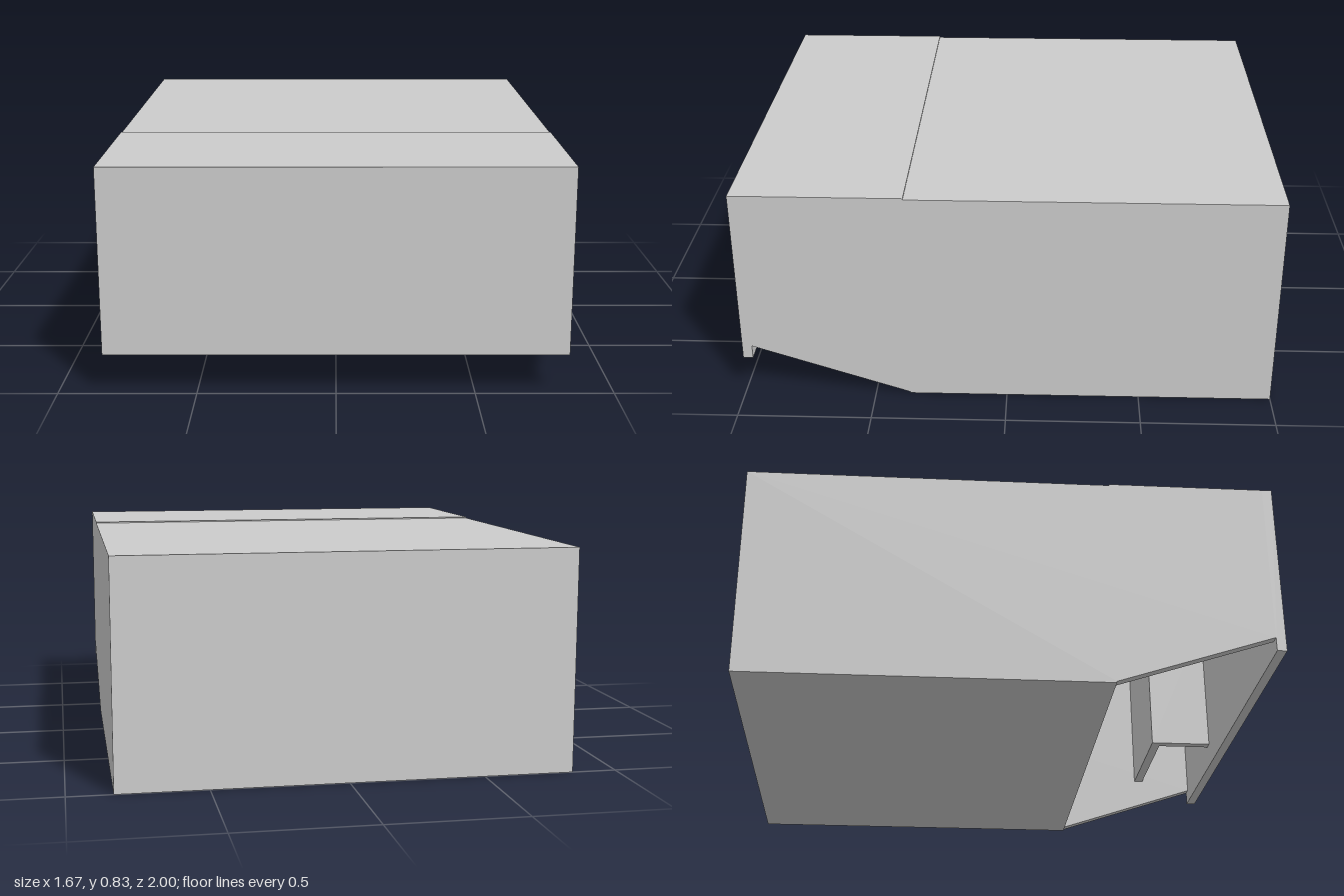
import * as THREE from 'three';

const W = 0.835;      // half width
const T = 0.037;      // board thickness
const SHEET = 0.005;  // thin sheet thickness
const TOP = 0.833;
const BREAK = 0.37;   // z where the floor ends and the lid begins
const FRONT = 1 - T;  // inner face of the front board

const material = new THREE.MeshStandardMaterial({ color: 0xcccccc });

export function createModel() {
  const group = new THREE.Group();

  // Box given by its minimum and maximum on each axis
  const board = (name, [x0, x1], [y0, y1], [z0, z1]) => {
    const mesh = new THREE.Mesh(new THREE.BoxGeometry(x1 - x0, y1 - y0, z1 - z0), material);
    mesh.position.set((x0 + x1) / 2, (y0 + y1) / 2, (z0 + z1) / 2);
    mesh.name = name;
    group.add(mesh);
  };

  // Side boards with the underside rising towards the front
  const profile = new THREE.Shape([
    [-1, SHEET], [BREAK, SHEET], [FRONT, 0.2], [FRONT, TOP - SHEET], [-1, TOP - SHEET],
  ].map(([z, y]) => new THREE.Vector2(-z, y)));
  const sideGeometry = new THREE.ExtrudeGeometry(profile, { depth: T, bevelEnabled: false });
  sideGeometry.rotateY(Math.PI / 2); // shape x becomes -z, depth becomes +x
  for (const [name, x] of [['rightSide', -W], ['leftSide', W - T]]) {
    const side = new THREE.Mesh(sideGeometry, material);
    side.position.x = x;
    side.name = name;
    group.add(side);
  }

  // Outer shell
  const inner = [-W + T, W - T];
  board('frontPanel', [-W, W], [0.147, TOP], [FRONT, 1]);
  board('backPanel', inner, [SHEET, TOP - SHEET], [-1, -1 + T]);
  board('bottomSheet', [-W, W], [0, SHEET], [-1, BREAK]);
  board('topPanel', inner, [TOP - SHEET - T, TOP - SHEET], [-1 + T, BREAK]);
  board('frontLid', [-W, W], [TOP - SHEET, TOP], [BREAK, FRONT]);

  // Inner compartment behind the front panel, open below
  const compartment = [0.24, TOP - SHEET];
  board('compartmentPartition', [0.308, 0.308 + T], compartment, [0.71, FRONT]);
  board('compartmentBack', [0.308 + T, W - T], compartment, [0.71, 0.71 + T]);

  return group;
}
